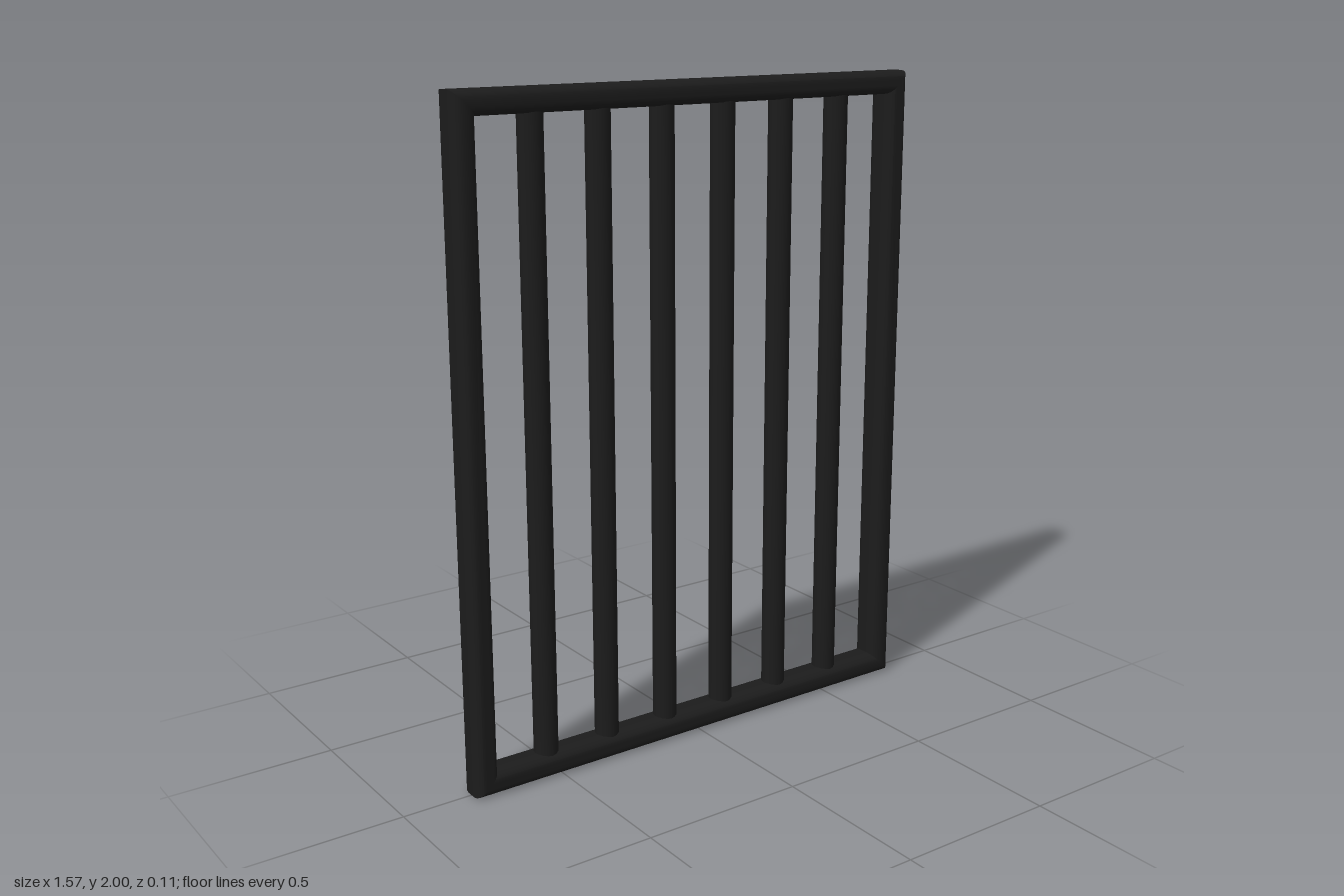
import * as THREE from 'three';
import { toCreasedNormals } from 'three/addons/utils/BufferGeometryUtils.js';

const WIDTH = 1.57, HEIGHT = 2, RAIL = 0.07, DEPTH = 0.105;
const BAR_RADIUS = 0.037, BAR_COUNT = 6, BAR_SPACING = 0.2135;

// Closed rectangle outline centred on x = 0, inset from the outer edge
function outline(path, inset) {
  const x = WIDTH / 2 - inset, y0 = inset, y1 = HEIGHT - inset;
  path.moveTo(-x, y0);
  path.lineTo(x, y0);
  path.lineTo(x, y1);
  path.lineTo(-x, y1);
  path.closePath();
  return path;
}

export function createModel() {
  const group = new THREE.Group();
  group.name = 'barredPanel';
  const iron = new THREE.MeshStandardMaterial({ color: 0x1c1c1c });

  // Mitred frame with rounded edges, inside and out
  const shape = outline(new THREE.Shape(), 0);
  shape.holes.push(outline(new THREE.Path(), RAIL));
  const bevel = 0.026, round = 0.035;
  const frameGeometry = new THREE.ExtrudeGeometry(shape, {
    depth: DEPTH - 2 * round,
    bevelThickness: round,
    bevelSize: bevel,
    bevelOffset: -bevel,
    bevelSegments: 4,
  });
  frameGeometry.translate(0, 0, round - DEPTH / 2);
  const frame = new THREE.Mesh(toCreasedNormals(frameGeometry, 0.6), iron);
  frame.name = 'frame';
  group.add(frame);

  // Round upright bars, ends sunk into the rails
  const barGeometry = new THREE.CylinderGeometry(BAR_RADIUS, BAR_RADIUS, HEIGHT - RAIL, 16);
  for (let i = 0; i < BAR_COUNT; i++) {
    const bar = new THREE.Mesh(barGeometry, iron);
    bar.name = `bar${i + 1}`;
    bar.position.set((i - (BAR_COUNT - 1) / 2) * BAR_SPACING, HEIGHT / 2, 0);
    group.add(bar);
  }
  return group;
}
